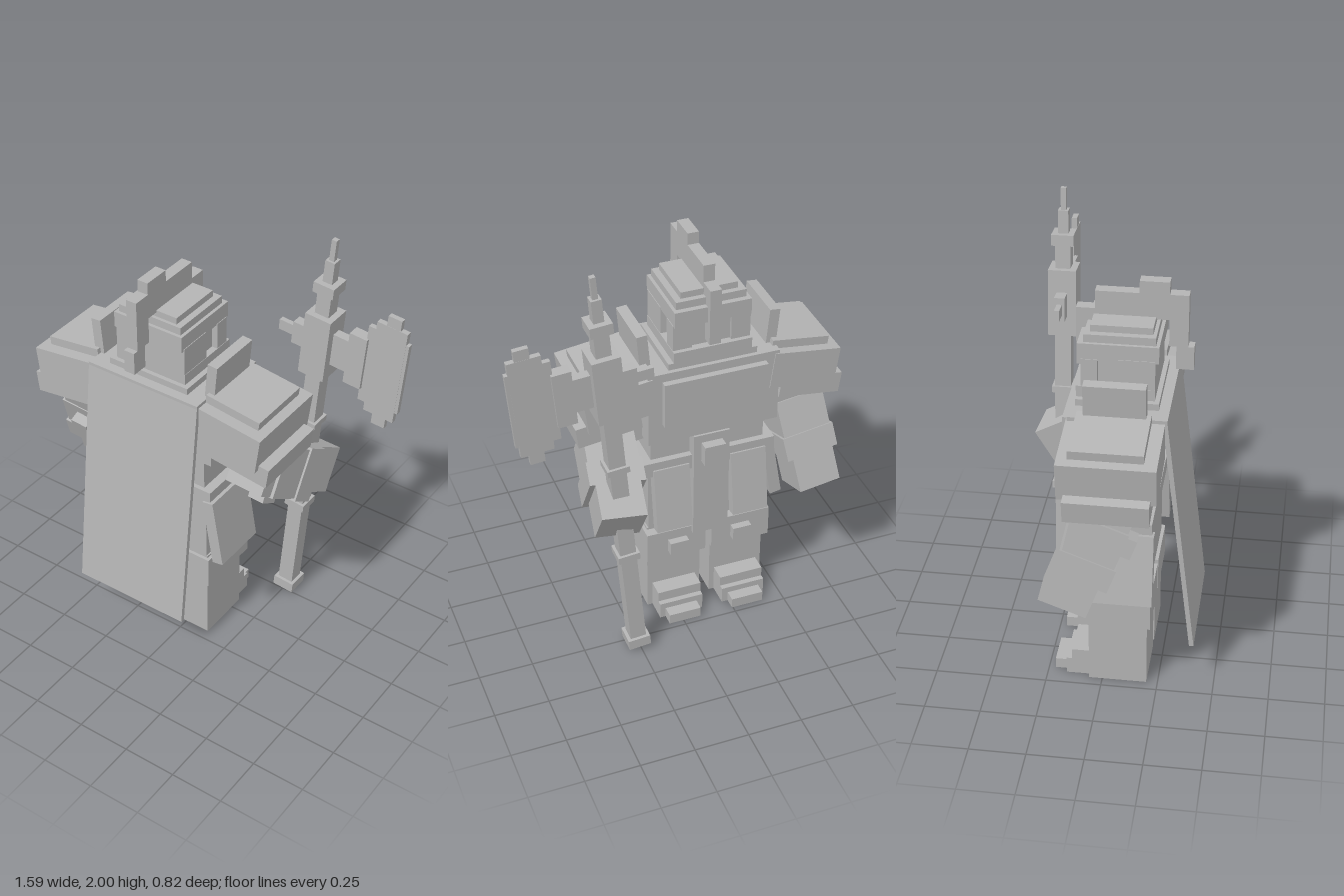
import * as THREE from 'three';

const steel = new THREE.MeshStandardMaterial({ color: 0xb4b4b4 });
steel.name = 'steel grey';

// Box given by its extents along each axis
function box(parent, name, [x0, x1], [y0, y1], [z0, z1]) {
  const m = new THREE.Mesh(new THREE.BoxGeometry(x1 - x0, y1 - y0, z1 - z0), steel);
  m.position.set((x0 + x1) / 2, (y0 + y1) / 2, (z0 + z1) / 2);
  m.name = name;
  parent.add(m);
  return m;
}

// Box centred on x = 0 of its parent
const mid = (parent, name, half, y, z) => box(parent, name, [-half, half], y, z);

function group(parent, name, pos = [0, 0, 0], rot = [0, 0, 0]) {
  const g = new THREE.Group();
  g.name = name;
  g.position.set(...pos);
  g.rotation.set(...rot);
  parent.add(g);
  return g;
}

// Helmet with stepped dome, face opening and crest
function addHead(body) {
  const h = group(body, 'head');
  mid(h, 'neckCollar', 0.205, [1.35, 1.39], [-0.12, 0.23]);
  mid(h, 'jawGuard', 0.18, [1.38, 1.44], [-0.12, 0.21]);
  mid(h, 'face', 0.15, [1.43, 1.58], [-0.085, 0.19]);
  mid(h, 'helmetBack', 0.178, [1.43, 1.57], [0.05, 0.21]);
  for (const s of [-1, 1]) {
    const x = s < 0 ? [-0.178, -0.09] : [0.09, 0.178];
    box(h, 'cheekGuard', x, [1.43, 1.565], [-0.1, -0.03]);
  }
  mid(h, 'browBand', 0.175, [1.56, 1.635], [-0.115, 0.225]);
  mid(h, 'domeLower', 0.16, [1.635, 1.67], [-0.09, 0.21]);
  mid(h, 'domeUpper', 0.13, [1.67, 1.7], [-0.065, 0.195]);
  mid(h, 'crestRidge', 0.026, [1.69, 1.805], [-0.06, 0.33]);
  mid(h, 'crestPeak', 0.026, [1.805, 1.86], [0.125, 0.25]);
  mid(h, 'crestTail', 0.026, [1.57, 1.69], [0.25, 0.33]);
  mid(h, 'crestTip', 0.026, [1.465, 1.57], [0.28, 0.355]);
  mid(h, 'noseGuard', 0.026, [1.46, 1.725], [-0.14, -0.06]);
}

function addTorso(body) {
  const t = group(body, 'torso');
  mid(t, 'chest', 0.305, [1.0, 1.36], [-0.14, 0.2]);
  mid(t, 'breastplate', 0.24, [1.1, 1.32], [-0.17, -0.14]);
  mid(t, 'abdomen', 0.27, [0.86, 1.0], [-0.07, 0.2]);
  mid(t, 'belt', 0.315, [0.79, 0.865], [-0.1, 0.22]);
  mid(t, 'hips', 0.28, [0.46, 0.79], [-0.06, 0.2]);
  mid(t, 'buckle', 0.05, [0.84, 0.94], [-0.17, -0.07]);
  mid(t, 'frontCloth', 0.085, [0.43, 0.98], [-0.125, -0.06]);
  // Cape hangs away from the back
  mid(t, 'capeYoke', 0.287, [1.3, 1.36], [0.18, 0.275]);
  const cape = group(t, 'cape', [0, 1.345, 0.265], [-0.118, 0, 0]);
  mid(cape, 'capeCloth', 0.287, [-1.13, 0], [-0.01, 0.01]);
}

// Leg, shoulder and skirt plates for one side; s is the side sign
function addSide(body, s) {
  const sx = (a, b) => (s > 0 ? [a, b] : [-b, -a]);
  const leg = group(body, s > 0 ? 'leftLeg' : 'rightLeg');
  box(leg, 'legBlock', sx(0.025, 0.287), [0, 0.47], [-0.06, 0.2]);
  box(leg, 'kneeBand', sx(0.015, 0.302), [0.305, 0.46], [-0.105, 0.215]);
  box(leg, 'kneeCap', sx(0.11, 0.2), [0.345, 0.41], [-0.14, -0.1]);
  box(leg, 'instep', sx(0.05, 0.262), [0.08, 0.13], [-0.14, -0.06]);
  box(leg, 'footBlock', sx(0.05, 0.262), [0, 0.08], [-0.165, -0.06]);
  box(leg, 'toe', sx(0.08, 0.235), [0, 0.05], [-0.22, -0.16]);

  const skirt = group(body, s > 0 ? 'leftSkirt' : 'rightSkirt');
  const side = group(skirt, 'sidePlateHinge', [s * 0.29, 0.81, 0], [0, 0, s * 0.17]);
  box(side, 'sidePlate', sx(-0.01, 0.045), [-0.33, 0], [-0.04, 0.23]);
  const front = group(skirt, 'frontPlateHinge', [s * 0.185, 0.82, -0.07], [0.15, 0, 0]);
  mid(front, 'frontPlate', 0.085, [-0.32, 0], [-0.04, 0.01]);

  // Stacked shoulder plates slope down outwards
  const sh = group(body, s > 0 ? 'leftShoulder' : 'rightShoulder', [s * 0.285, 1.35, 0], [0, 0, -s * 0.13]);
  box(sh, 'shoulderCap', sx(0, 0.27), [-0.045, 0.035], [-0.1, 0.21]);
  box(sh, 'shoulderPlate', sx(0, 0.315), [-0.18, -0.005], [-0.145, 0.265]);
  box(sh, 'shoulderRim', sx(0.07, 0.365), [-0.255, -0.155], [-0.115, 0.24]);
  box(sh, 'upperArm', sx(0.06, 0.27), [-0.36, -0.2], [-0.06, 0.14]);
  const guard = group(body, 'neckGuard', [s * 0.29, 1.34, 0.06], [0, 0, -s * 0.09]);
  mid(guard, 'neckGuardPlate', 0.024, [0, 0.185], [-0.13, 0.13]);
}

// Forearm hanging from the elbow along local -y
function addForearm(body, name, pos, rot) {
  const a = group(body, name, pos, rot);
  mid(a, 'elbow', 0.1, [-0.1, 0.07], [-0.1, 0.1]);
  mid(a, 'cuff', 0.115, [-0.17, 0], [-0.125, 0.105]);
  mid(a, 'wristBand', 0.125, [-0.28, -0.17], [-0.135, 0.115]);
  mid(a, 'hand', 0.1, [-0.44, -0.28], [-0.135, 0.08]);
  mid(a, 'elbowKnob', 0.042, [-0.14, -0.05], [0.1, 0.155]);
}

function addAxe(root) {
  const axe = group(root, 'axe', [0.258, 0.02, -0.285], [0, 0, -0.083]);
  // Shaft pieces: name, half width, bottom, top
  const shaft = [
    ['shaftButt', 0.052, 0, 0.05], ['shaft', 0.037, 0.05, 1.32],
    ['lowerRing', 0.05, 0.525, 0.56], ['gripRing', 0.05, 1.02, 1.05],
    ['headSocket', 0.063, 1.31, 1.62], ['upperShaft', 0.034, 1.62, 1.73],
    ['upperRing', 0.05, 1.73, 1.78], ['spikeBase', 0.023, 1.78, 1.885], ['spikeTip', 0.012, 1.885, 1.985],
  ];
  for (const [n, w, a, b] of shaft) mid(axe, n, w, [a, b], [-w, w]);
  // Blade pieces: name, x range, half height, half depth
  const head = [
    ['innerNeck', 0.06, 0.14, 0.08, 0.022], ['outerNeck', 0.14, 0.225, 0.13, 0.028],
    ['bladeRoot', 0.215, 0.26, 0.195, 0.012], ['blade', 0.25, 0.395, 0.235, 0.013],
    ['bladeTips', 0.295, 0.36, 0.285, 0.012], ['bladeEdge', 0.39, 0.41, 0.18, 0.012],
    ['backSpikeBase', -0.135, -0.06, 0.055, 0.024], ['backSpike', -0.21, -0.135, 0.025, 0.012],
  ];
  for (const [n, a, b, h, d] of head) box(axe, n, [a, b], [1.462 - h, 1.462 + h], [-d, d]);
}

export function createModel() {
  const root = new THREE.Group();
  root.name = 'armouredGuard';
  const body = group(root, 'body', [-0.165, 0, 0]);
  addHead(body);
  addTorso(body);
  for (const s of [-1, 1]) addSide(body, s);
  addForearm(body, 'rightForearm', [-0.445, 0.99, 0.05], [0.36, 0, -0.12]);
  addForearm(body, 'leftForearm', [0.455, 0.965, 0.045], [1.03, 0, 0.12]);
  addAxe(root);
  return root;
}
